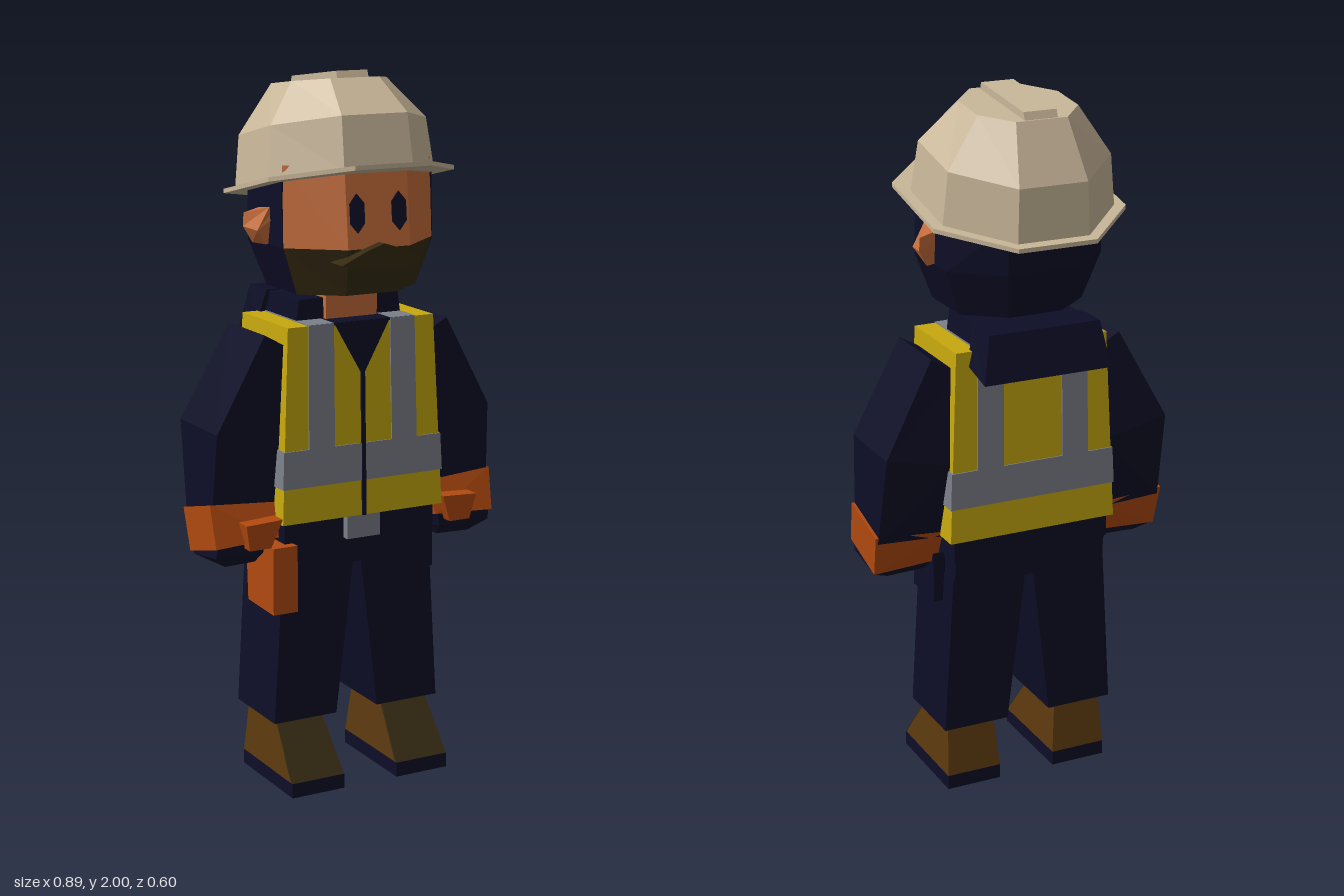
import * as THREE from 'three';

const mat = (name, color) => {
  const m = new THREE.MeshStandardMaterial({ color });
  m.name = name;
  return m;
};

// Closed flat-shaded solid through rings of equal point count, outward facing
function loft(rings) {
  const n = rings[0].length, tris = [];
  for (let r = 0; r < rings.length - 1; r++) {
    for (let i = 0; i < n; i++) {
      const j = (i + 1) % n, a = rings[r], b = rings[r + 1];
      tris.push([a[i], b[i], b[j]], [a[i], b[j], a[j]]);
    }
  }
  const first = rings[0], last = rings[rings.length - 1];
  for (let i = 1; i < n - 1; i++) {
    tris.push([first[0], first[i], first[i + 1]], [last[0], last[i + 1], last[i]]);
  }
  const v = tris.map(t => t.map(p => new THREE.Vector3(...p)));
  const volume = v.reduce((s, [a, b, c]) => s + a.dot(b.clone().cross(c)), 0);
  const flat = v.flatMap(([a, b, c]) => (volume < 0 ? [a, c, b] : [a, b, c]));
  const geo = new THREE.BufferGeometry().setFromPoints(flat);
  geo.computeVertexNormals();
  return geo;
}

// Horizontal rectangle ring
const rect = (y, x0, x1, z0, z1) => [[x0, y, z0], [x1, y, z0], [x1, y, z1], [x0, y, z1]];

// Limb ring: inner and outer edge heights differ, back edge shifted by dy
const limb = (s, [xi, yi, xo, yo, zb, zf, dy = 0]) => [
  [s * xi, yi + dy, zb], [s * xo, yo + dy, zb], [s * xo, yo, zf], [s * xi, yi, zf]];

// Octagon ring: a = half width of front/back edge, b = half width of sides
const oct = (a, b, zb, z1, z2, zf, y) => [
  [-a, zb], [a, zb], [b, z1], [b, z2], [a, zf], [-a, zf], [-b, z2], [-b, z1],
].map(([x, z]) => [x, y(z), z]);

export function createModel() {
  const model = new THREE.Group();
  model.name = 'worker';
  const navy = mat('navy cloth', 0x0d0d27);
  const cream = mat('helmet cream', 0xc9b799);
  const skin = mat('skin', 0xc46c3a);
  const orange = mat('orange', 0xb34a10);
  const yellow = mat('safety yellow', 0xc6a80e);
  const grey = mat('reflective grey', 0x7b7f88);
  const beardDark = mat('dark olive', 0x352a12);
  const brown = mat('boot brown', 0x5c390f);

  const add = (name, material, geo) => {
    const mesh = new THREE.Mesh(geo, material);
    mesh.name = name;
    model.add(mesh);
    return mesh;
  };
  const solid = (name, material, ...rings) => add(name, material, loft(rings));

  // Helmet: tilted brim, faceted dome, top ridge
  const tilt = h => z => 1.7 + 0.225 * z + h;
  const crown = h => z => 1.972 + 0.12 * z + h;
  solid('helmetBrim', cream,
    oct(0.115, 0.285, -0.3, -0.14, 0.135, 0.3, tilt(-0.006)),
    oct(0.115, 0.285, -0.3, -0.14, 0.135, 0.3, tilt(0.006)));
  solid('helmetDome', cream,
    oct(0.105, 0.255, -0.275, -0.13, 0.08, 0.222, tilt(0)),
    oct(0.1, 0.24, -0.272, -0.135, 0.058, 0.197, tilt(0.15)),
    oct(0.075, 0.147, -0.2, -0.12, 0, 0.087, crown(0)));
  const ridge = (z0, z1, h) => rect(0, -0.048, 0.048, z0, z1).map(([x, , z]) => [x, crown(h)(z), z]);
  solid('helmetRidge', cream, ridge(-0.2, 0.08, -0.01), ridge(-0.188, 0.07, 0.02));

  // Head: face and beard in front, hair behind
  const front = (y, w, a, zs, zf) => [[w, y, zs], [a, y, zf], [-a, y, zf], [-w, y, zs]];
  const back = (y, w, a, zs, z1, zb) => [
    [w, y, zs], [w, y, z1], [a, y, zb], [-a, y, zb], [-w, y, z1], [-w, y, zs]];
  solid('face', skin, front(1.54, 0.23, 0.095, 0.11, 0.225), front(1.76, 0.228, 0.095, 0.1, 0.203));
  solid('beard', beardDark, front(1.41, 0.185, 0.08, 0.1, 0.185), front(1.54, 0.23, 0.095, 0.11, 0.225));
  solid('hair', navy,
    back(1.41, 0.185, 0.08, 0.1, -0.08, -0.165),
    back(1.54, 0.232, 0.1, 0.11, -0.1, -0.205),
    back(1.68, 0.232, 0.1, 0.104, -0.1, -0.215));
  const hairTop = [[0.232, 0.104], [0.232, -0.1], [0.1, -0.215], [-0.1, -0.215], [-0.232, -0.1], [-0.232, 0.104]];
  solid('hairUnderHelmet', navy,
    hairTop.map(([x, z]) => [x, 1.68, z]),
    hairTop.map(([x, z]) => [x, 1.7 + 0.225 * z, z]));

  const moustache = new THREE.Shape([[-0.13, 1.505], [-0.06, 1.488], [0, 1.496], [0.06, 1.488], [0.13, 1.505], [0.05, 1.54], [0, 1.556], [-0.05, 1.54]]
    .map(p => new THREE.Vector2(...p)));
  add('moustache', beardDark, new THREE.ExtrudeGeometry(moustache, { depth: 0.065, bevelEnabled: false }))
    .position.z = 0.19;
  solid('neck', skin, rect(1.3, -0.08, 0.08, -0.06, 0.07), rect(1.43, -0.08, 0.08, -0.06, 0.07));

  // Collar and the flap hanging behind it
  solid('collar', navy, rect(1.31, -0.165, 0.165, -0.2, 0.055), rect(1.385, -0.155, 0.155, -0.2, 0.055));
  solid('collarFlap', navy,
    [[-0.19, 1.258, -0.25], [0.19, 1.258, -0.25], [0.19, 1.285, -0.14], [-0.19, 1.285, -0.14]],
    rect(1.388, -0.165, 0.165, -0.225, -0.12));

  // Vest: yellow body with thin bands laid on its sloping faces
  const half = y => 0.227 + (1.325 - y) * 0.046;
  const fz = y => 0.128 + (1.325 - y) * 0.027;
  const bz = y => -0.148 - (1.325 - y) * 0.02;
  const vestRing = (y, o = 0) => rect(y, -half(y) - o, half(y) + o, bz(y) - o, fz(y) + o);
  solid('vest', yellow, vestRing(0.78), vestRing(1.325));
  solid('vestBand', grey, vestRing(0.88, 0.004), vestRing(0.985, 0.004));
  const frontPlate = (name, m, y0, y1, a0, a1, b0, b1, o) => solid(name, m,
    rect(y0, a0, a1, fz(y0) - 0.002, fz(y0) + o), rect(y1, b0, b1, fz(y1) - 0.002, fz(y1) + o));
  frontPlate('neckOpening', navy, 1.18, 1.327, -0.003, 0.003, -0.086, 0.086, 0.005);
  frontPlate('zip', navy, 0.78, 1.19, -0.006, 0.006, -0.006, 0.006, 0.006);
  solid('shirtTop', navy, rect(1.32, -0.088, 0.088, -0.15, 0.13), rect(1.328, -0.088, 0.088, -0.15, 0.13));

  // Belt, buckle, hips
  solid('belt', navy, rect(0.715, -0.236, 0.236, -0.147, 0.12), rect(0.782, -0.236, 0.236, -0.147, 0.12));
  solid('hips', navy, rect(0.635, -0.232, 0.232, -0.133, 0.103), rect(0.72, -0.23, 0.23, -0.145, 0.105));
  solid('buckle', grey, rect(0.715, -0.052, 0.052, 0.1, 0.142), rect(0.785, -0.052, 0.052, 0.1, 0.142));

  // Hip pouches
  solid('orangePouch', orange,
    [[-0.3, 0.545, 0.02], [-0.22, 0.545, 0.02], [-0.21, 0.53, 0.147], [-0.285, 0.53, 0.147]],
    [[-0.305, 0.72, 0.02], [-0.22, 0.72, 0.02], [-0.21, 0.72, 0.147], [-0.285, 0.72, 0.147]]);
  solid('navyPouch', navy, rect(0.575, 0.2, 0.266, -0.07, 0.07), rect(0.72, 0.2, 0.266, -0.07, 0.07));

  for (const s of [-1, 1]) {
    const side = s > 0 ? 'left' : 'right';
    const sRect = (y, x0, x1, z0, z1) => rect(y, s * x0, s * x1, z0, z1);

    // Reflective straps on front, shoulder and back
    frontPlate(side + 'FrontStrap', grey, 0.98, 1.327, s * 0.09, s * 0.17, s * 0.088, s * 0.165, 0.004);
    solid(side + 'BackStrap', grey,
      sRect(0.98, 0.09, 0.17, bz(0.98) - 0.004, bz(0.98) + 0.002),
      sRect(1.327, 0.088, 0.165, bz(1.327) - 0.004, bz(1.327) + 0.002));
    solid(side + 'ShoulderStrap', grey, sRect(1.32, 0.088, 0.165, -0.15, 0.13), sRect(1.328, 0.088, 0.165, -0.15, 0.13));

    // Eye and ear
    const eye = add(side + 'Eye', navy, new THREE.ExtrudeGeometry(new THREE.Shape(
      [[-0.022, -0.027], [0, -0.053], [0.022, -0.027], [0.022, 0.027], [0, 0.053], [-0.022, 0.027]]
        .map(p => new THREE.Vector2(...p))), { depth: 0.006, bevelEnabled: false }));
    eye.position.set(s * 0.064, 1.635, 0.213);
    eye.rotation.x = -0.1;
    solid(side + 'Ear', skin,
      [[s * 0.21, 1.545, -0.02], [s * 0.255, 1.54, -0.025], [s * 0.24, 1.54, 0.025], [s * 0.21, 1.545, 0.025]],
      [[s * 0.21, 1.62, -0.03], [s * 0.28, 1.585, -0.032], [s * 0.27, 1.58, 0.035], [s * 0.21, 1.62, 0.04]],
      [[s * 0.21, 1.64, -0.03], [s * 0.278, 1.622, -0.032], [s * 0.235, 1.642, 0.038], [s * 0.21, 1.645, 0.038]]);

    // Arm, cuff, gloved hand, thumb
    const armPart = (name, m, ...rings) => solid(side + name, m, ...rings.map(r => limb(s, r)));
    armPart('Arm', navy,
      [0.21, 1.265, 0.285, 1.307, -0.115, 0.105],
      [0.23, 1.0, 0.428, 1.045, -0.135, 0.1],
      [0.246, 0.82, 0.437, 0.83, -0.083, 0.083, -0.045]);
    armPart('Cuff', orange,
      [0.244, 0.835, 0.445, 0.85, -0.087, 0.085, -0.045],
      [0.25, 0.74, 0.44, 0.73, -0.057, 0.112, -0.045]);
    armPart('Hand', navy,
      [0.262, 0.75, 0.432, 0.74, -0.05, 0.105, -0.04],
      [0.27, 0.7, 0.435, 0.7, -0.045, 0.1, -0.02],
      [0.285, 0.665, 0.39, 0.662, -0.03, 0.06]);
    armPart('Thumb', orange,
      [0.285, 0.72, 0.35, 0.72, 0.07, 0.135],
      [0.255, 0.8, 0.365, 0.795, 0.07, 0.147]);

    // Trouser leg, boot, sole
    solid(side + 'Leg', navy, sRect(0.195, 0.066, 0.262, -0.13, 0.104), sRect(0.66, 0.01, 0.234, -0.133, 0.104));
    solid(side + 'Boot', brown, sRect(0.04, 0.085, 0.25, -0.12, 0.183), sRect(0.21, 0.1, 0.24, -0.1, 0.055));
    solid(side + 'BootFront', beardDark, sRect(0.04, 0.085, 0.25, 0.178, 0.187), sRect(0.21, 0.1, 0.24, 0.05, 0.059));
    solid(side + 'Sole', navy, sRect(0, 0.085, 0.25, -0.12, 0.187), sRect(0.042, 0.085, 0.25, -0.12, 0.187));
  }
  return model;
}
